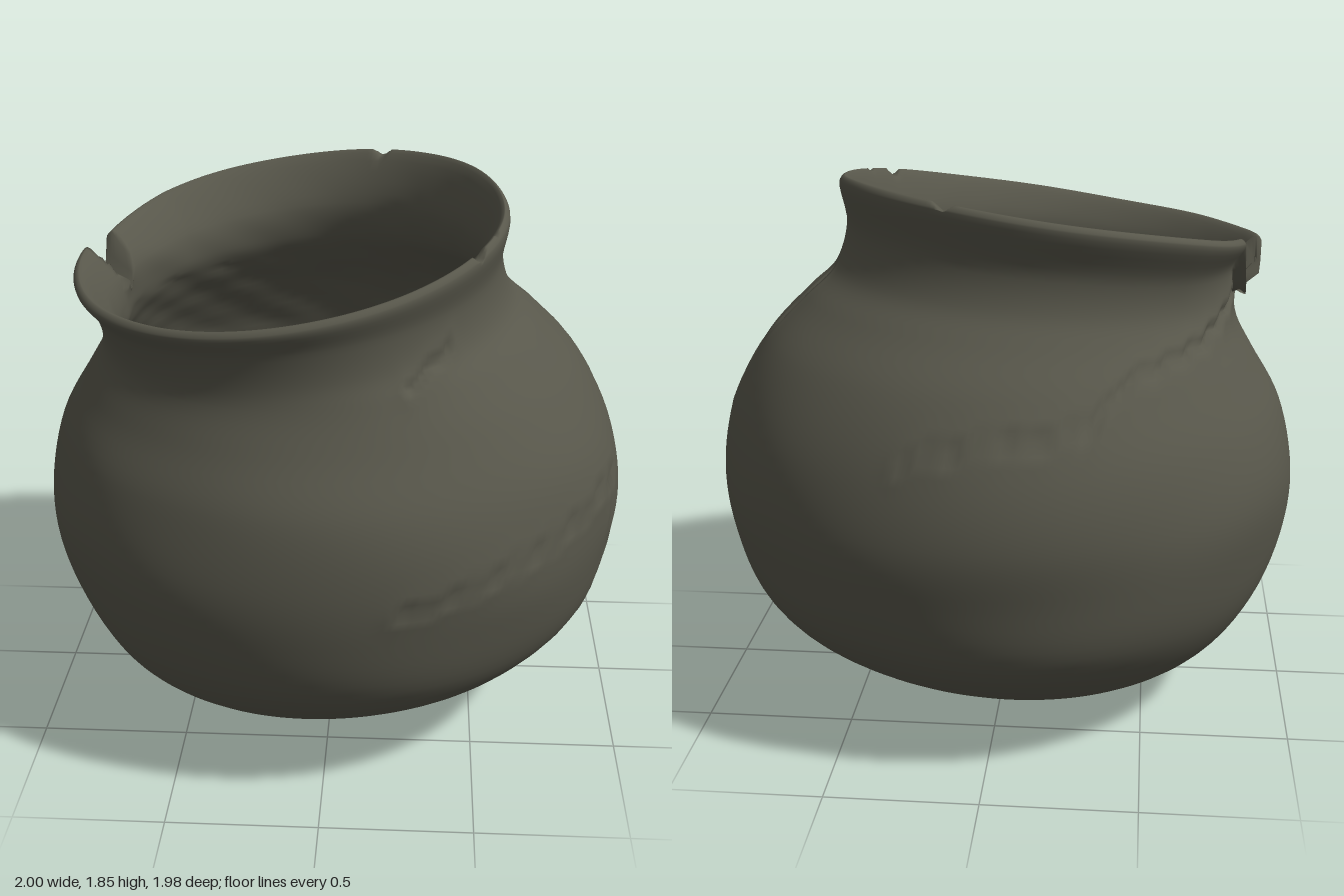
import * as THREE from 'three';

const AROUND = 280, STEPS = 150, WALL = 0.055;
// Leaning outer rings, bottom -> rim: [left x, y, right x, y, front z, y, back z, y]
const OUTER = [
  [-0.34, 0.012, 0.16, 0.02, 0.27, 0.015, -0.21, 0.02],
  [-0.53, 0.08, 0.41, 0.07, 0.46, 0.08, -0.42, 0.08],
  [-0.78, 0.23, 0.68, 0.22, 0.74, 0.24, -0.7, 0.22],
  [-0.91, 0.42, 0.9, 0.42, 0.905, 0.42, -0.9, 0.42],
  [-0.985, 0.65, 0.98, 0.65, 0.975, 0.65, -0.965, 0.65],
  [-1.0, 0.84, 1.0, 0.84, 0.99, 0.84, -0.985, 0.84],
  [-0.95, 1.05, 0.96, 1.05, 0.95, 1.06, -0.94, 1.06],
  [-0.86, 1.22, 0.84, 1.27, 0.86, 1.24, -0.83, 1.27],
  [-0.795, 1.35, 0.7, 1.42, 0.8, 1.37, -0.71, 1.41],
  [-0.785, 1.43, 0.6, 1.52, 0.785, 1.44, -0.645, 1.5],
  [-0.81, 1.52, 0.56, 1.66, 0.8, 1.54, -0.63, 1.62],
  [-0.865, 1.6, 0.58, 1.8, 0.835, 1.62, -0.685, 1.775],
];

// Moves a ring inward by the wall thickness, and up by lift
const inset = ([xl, yl, xr, yr, zf, yf, zb, yb], w, lift) =>
  [xl + w, yl + lift, xr - w, yr + lift, zf - w, yf + lift, zb + w, yb + lift];
const pole = y => [-0.1, y, -0.1, y, 0.03, y, 0.03, y];
const inner = OUTER.slice(0, -1).reverse().map(r => inset(r, WALL, 0.05 * Math.max(0, 1 - r[1] / 0.6)));
const lipRing = inset(OUTER[OUTER.length - 1], 0.02, 0.02);
const RINGS = [pole(0), ...OUTER, lipRing, ...inner, pole(0.06)];
const LIP = (OUTER.length + 1) / (RINGS.length - 1);

// Cracks as paths of [bearing in radians from +x towards +z, height]
const FRONT_CRACK = [[1.31, 0.77], [0.96, 0.85], [0.53, 0.93], [0.27, 0.95]];
const SIDE_CRACK = [[0.3, 0.95], [0.32, 0.8], [0.3, 0.62], [0.33, 0.46]];
const SHOULDER_CRACK = [[-0.18, 1.52], [-0.21, 1.32], [-0.17, 1.25], [-0.2, 1.07]];
const BACK_CRACK = [[-3.06, 1.45], [-2.61, 1.36], [-2.12, 1.3], [-1.92, 1.18], [-1.62, 1.16], [-1.31, 1.1]];
const NECK_CRACK = [[1.22, 1.42], [0.98, 1.51]];
const CRACKS = [FRONT_CRACK, SIDE_CRACK, SHOULDER_CRACK, BACK_CRACK, NECK_CRACK];

// Gaps broken out of the lip
const CHIPS = [
  { bearing: -3.07, width: 0.075, depth: 0.2 },
  { bearing: 0.77, width: 0.06, depth: 0.035 },
  { bearing: -1.34, width: 0.05, depth: 0.03 },
  { bearing: 0.54, width: 0.03, depth: 0.02 },
];

function ringPoint([xl, yl, xr, yr, zf, yf, zb, yb], a) {
  const c = Math.cos(a), s = Math.sin(a);
  return new THREE.Vector3(
    (xl + xr) / 2 + c * (xr - xl) / 2,
    (yl + yr + yf + yb) / 4 + c * (yr - yl) / 2 + s * (yf - yb) / 2,
    (zf + zb) / 2 + s * (zf - zb) / 2);
}

function crackDistance(u, v) {
  let best = 9;
  for (const path of CRACKS) for (let i = 1; i < path.length; i++) {
    const [ax, ay] = path[i - 1], dx = path[i][0] - ax, dy = path[i][1] - ay;
    const t = THREE.MathUtils.clamp(((u - ax) * dx + (v - ay) * dy) / (dx * dx + dy * dy), 0, 1);
    best = Math.min(best, Math.hypot(u - ax - t * dx, v - ay - t * dy));
  }
  return best;
}

const bumps = (p, f) => Math.sin(p.x * f + 1.3 * p.y * f) * Math.sin(p.y * f * 1.1 - p.z * f + 1) +
  0.5 * Math.sin(p.z * f * 1.9 + p.x * f + 2) * Math.sin(p.y * f * 2.1 + 0.5);

// Hand-made irregularity, cracks and the broken lip
function weather(p, inside) {
  const bearing = Math.atan2(p.z, p.x);
  const radial = new THREE.Vector3(p.x, (p.y - 0.85) * 0.7, p.z).normalize();
  let push = 0.004 * bumps(p, 5);
  if (inside) {
    push += 0.005 * bumps(p, 17) * (p.y < 1.4 ? 1 : 0.3);
  } else {
    const d = crackDistance(bearing + 0.008 * Math.sin(p.y * 40), p.y + 0.008 * Math.sin(bearing * 38));
    push += 0.006 * Math.exp(-((d / 0.05) ** 2)) - 0.022 * Math.exp(-((d / 0.014) ** 2));
  }
  // the rim behind the gap sits a little further in
  const behind = bearing + Math.PI;
  if (behind > 0.03 && behind < 0.6) {
    p.x += 0.045 * (1 - behind / 0.6) * THREE.MathUtils.smoothstep(p.y, 1.42, 1.58);
  }
  const lip = 1.722 + 0.145 * (p.x + 0.15) - 0.1 * (p.z - 0.07);
  p.addScaledVector(radial, push);
  p.y = Math.max(p.y, 0);
  for (const chip of CHIPS) {
    const turn = Math.abs(bearing - chip.bearing), d = Math.min(turn, Math.PI * 2 - turn);
    if (d < chip.width) p.y = Math.min(p.y, lip - chip.depth * (1 - d / chip.width) ** 0.6);
  }
}

function potGeometry() {
  const rows = STEPS + 1, points = [], index = [];
  for (let i = 0; i < AROUND; i++) {
    const a = i / AROUND * Math.PI * 2;
    const profile = new THREE.CatmullRomCurve3(RINGS.map(r => ringPoint(r, a)), false, 'centripetal');
    for (let j = 0; j < rows; j++) {
      const p = profile.getPoint(j / STEPS);
      if (j > 0 && j < STEPS) weather(p, j / STEPS > LIP);
      points.push(p);
    }
  }
  for (let i = 0; i < AROUND; i++) for (let j = 0; j < STEPS; j++) {
    const a = i * rows + j, b = ((i + 1) % AROUND) * rows + j;
    index.push(a, a + 1, b, b, a + 1, b + 1);
  }
  const geometry = new THREE.BufferGeometry().setFromPoints(points);
  geometry.setIndex(index);
  geometry.computeVertexNormals();
  return geometry;
}

export function createModel() {
  const clay = new THREE.MeshStandardMaterial({ color: 0x58574b });
  clay.name = 'dark clay';
  const pot = new THREE.Mesh(potGeometry(), clay);
  pot.name = 'pot';
  const model = new THREE.Group();
  model.name = 'clay pot';
  model.add(pot);
  return model;
}
